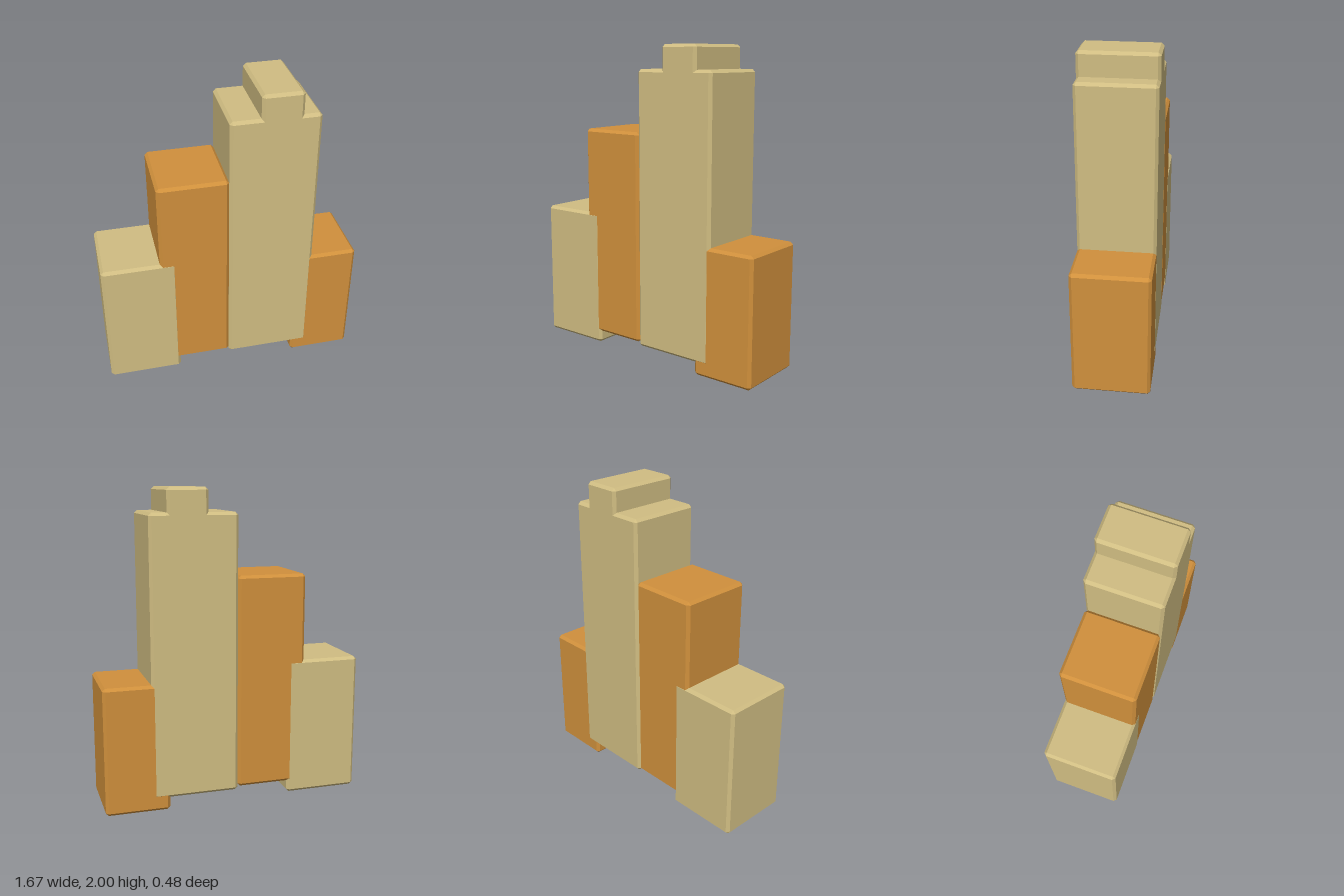
import * as THREE from 'three';
import { ConvexGeometry } from 'three/addons/geometries/ConvexGeometry.js';

const BEVEL = 0.018;

// Box with every edge cut by a single flat chamfer
function chamferBox(w, h, d, b) {
  const half = [w / 2, h / 2, d / 2];
  const points = [];
  for (const sx of [-1, 1]) for (const sy of [-1, 1]) for (const sz of [-1, 1]) {
    const sign = [sx, sy, sz];
    for (let axis = 0; axis < 3; axis++) {
      const p = half.map((v, i) => sign[i] * (i === axis ? v : v - b));
      points.push(new THREE.Vector3(...p));
    }
  }
  return new ConvexGeometry(points);
}

export function createModel() {
  const group = new THREE.Group();
  group.name = 'skyline';

  const sand = new THREE.MeshStandardMaterial({ color: 0xd0bd82 });
  sand.name = 'sand';
  const amber = new THREE.MeshStandardMaterial({ color: 0xd0903c });
  amber.name = 'amber';

  // name, material, x range, y range, half depth (sand blocks sit a hair proud)
  const blocks = [
    ['lowRightBlock', sand, -0.833, -0.357, 0.022, 0.91, 0.24],
    ['middleBlock', amber, -0.463, -0.02, 0.1, 1.465, 0.239],
    ['tower', sand, -0.02, 0.533, 0.08, 1.852, 0.24],
    ['towerCap', sand, 0.167, 0.422, 1.7, 2, 0.24],
    ['lowLeftBlock', amber, 0.425, 0.833, 0, 0.815, 0.239],
  ];

  for (const [name, material, x0, x1, y0, y1, z] of blocks) {
    const mesh = new THREE.Mesh(chamferBox(x1 - x0, y1 - y0, z * 2, BEVEL), material);
    mesh.position.set((x0 + x1) / 2, (y0 + y1) / 2, 0);
    mesh.name = name;
    group.add(mesh);
  }
  return group;
}
